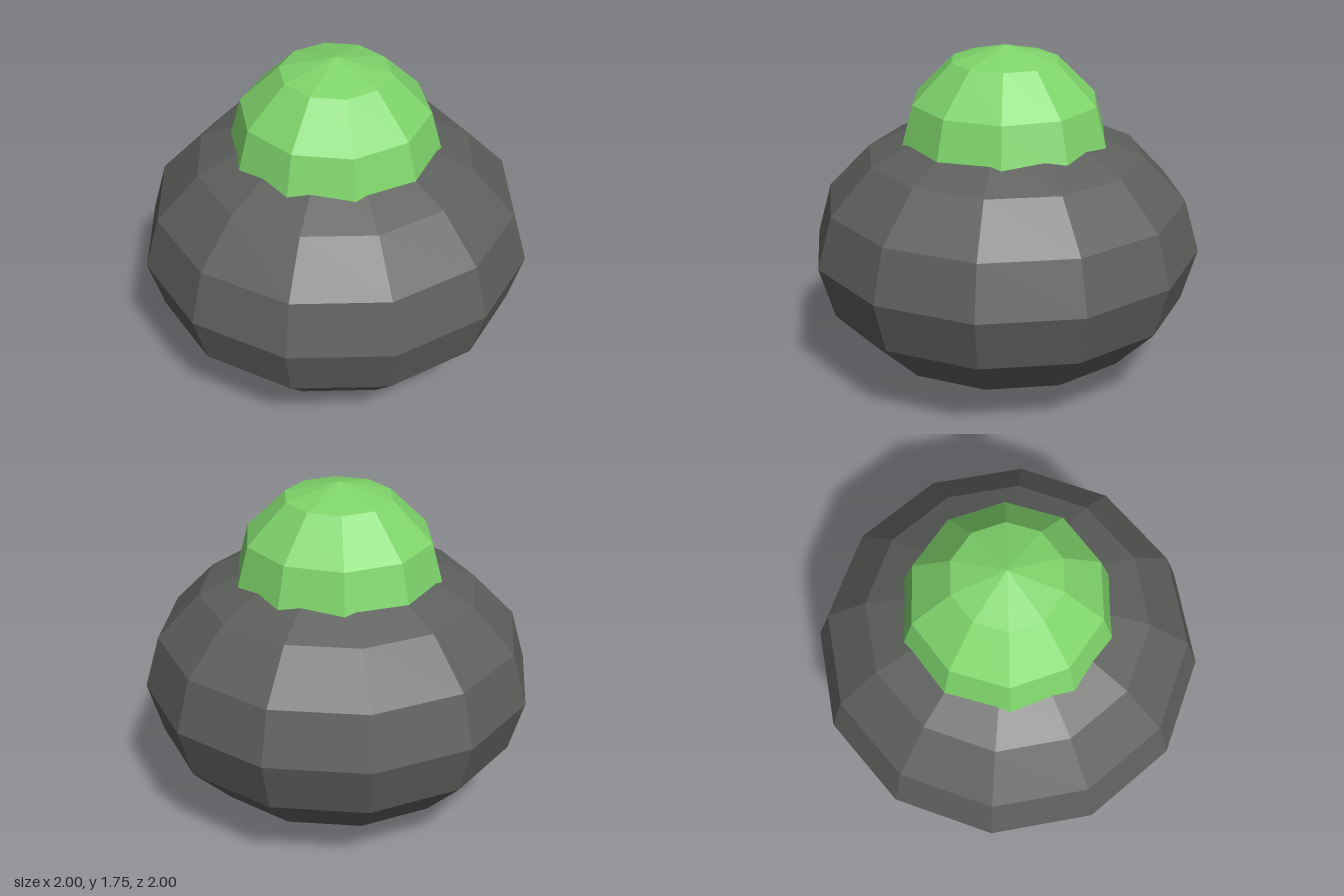
import * as THREE from 'three';

export function createModel() {
  const group = new THREE.Group();
  group.name = 'domedSaucer';

  const hullGrey = new THREE.MeshStandardMaterial({ color: 0x5d605d, flatShading: true });
  hullGrey.name = 'hullGrey';
  const domeGreen = new THREE.MeshStandardMaterial({ color: 0x7fd56b, flatShading: true });
  domeGreen.name = 'domeGreen';

  // Squashed twelve-sided hull
  const hull = new THREE.Mesh(new THREE.SphereGeometry(1, 12, 8), hullGrey);
  hull.name = 'hull';
  hull.scale.y = 0.7;
  hull.position.y = 0.703;
  group.add(hull);

  // Ten-sided dome, sunk into the hull, with corners on the z axis
  const dome = new THREE.Mesh(
    new THREE.SphereGeometry(0.55, 10, 3, 0, Math.PI * 2, 0, Math.PI / 2),
    domeGreen
  );
  dome.name = 'dome';
  dome.rotation.y = Math.PI / 2;
  dome.position.y = 1.203;
  group.add(dome);

  return group;
}
